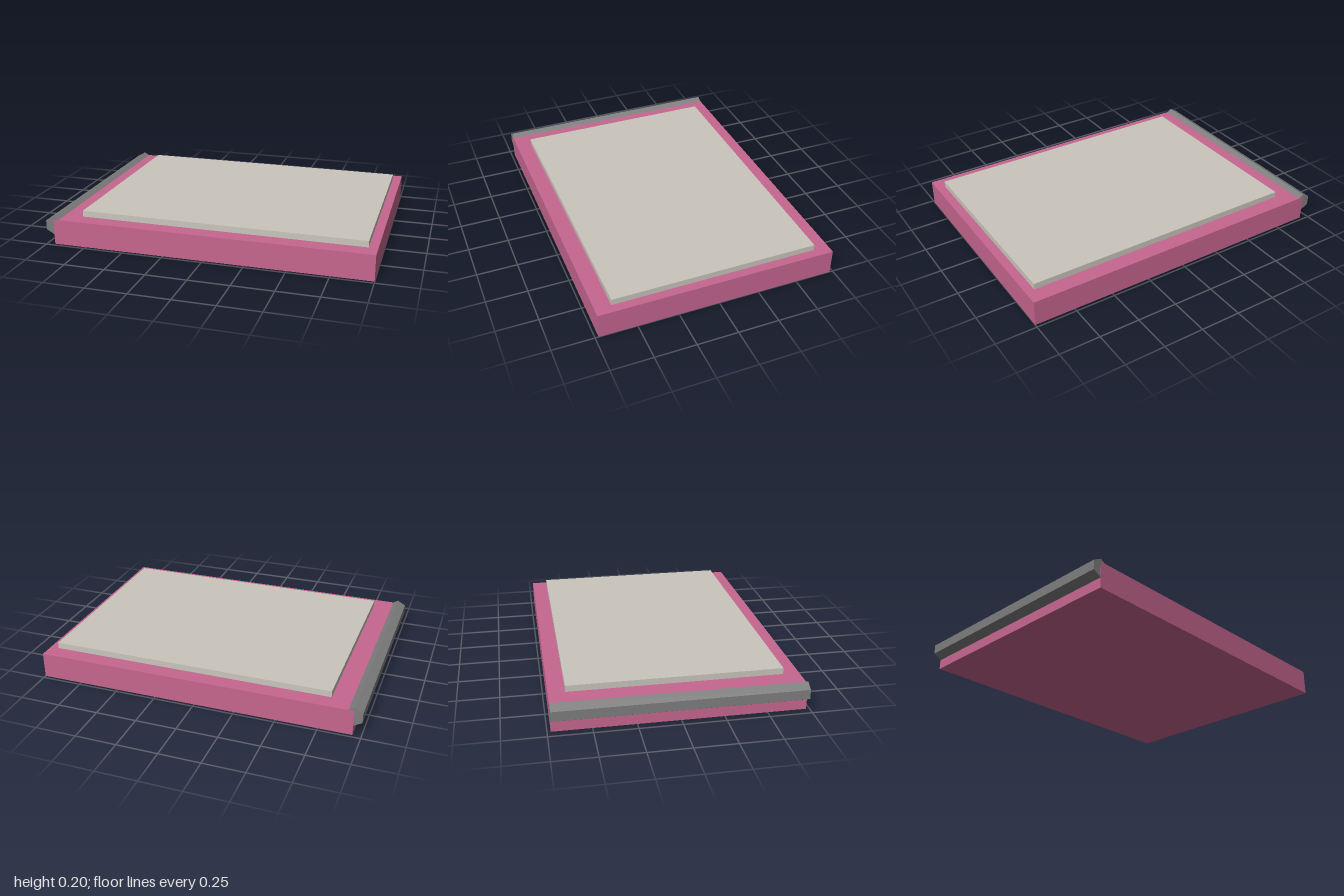
import * as THREE from 'three';

const material = (name, color) => {
  const m = new THREE.MeshStandardMaterial({ color });
  m.name = name;
  return m;
};

// Box given by its lower and upper bounds
function slab(name, mat, [x0, y0, z0], [x1, y1, z1]) {
  const mesh = new THREE.Mesh(new THREE.BoxGeometry(x1 - x0, y1 - y0, z1 - z0), mat);
  mesh.position.set((x0 + x1) / 2, (y0 + y1) / 2, (z0 + z1) / 2);
  mesh.name = name;
  return mesh;
}

export function createModel() {
  const group = new THREE.Group();
  group.name = 'tablet';
  const pink = material('pink', 0xc7668f);
  const paper = material('pale grey', 0xcac6bd);
  const grey = material('grey', 0x7e7e7e);
  grey.flatShading = true;

  // Thick base slab
  group.add(slab('base', pink, [-0.95, 0, -0.73], [1, 0.158, 0.73]));

  // Raised panel on top
  group.add(slab('topPanel', paper, [-0.8, 0.158, -0.632], [0.946, 0.196, 0.632]));

  // Hexagonal bar along the right edge, point upward, ends just inside the base
  const bar = new THREE.CylinderGeometry(0.058, 0.058, 1.458, 6);
  bar.rotateX(Math.PI / 2);
  const edgeBar = new THREE.Mesh(bar, grey);
  edgeBar.position.set(-0.95, 0.119, 0);
  edgeBar.name = 'edgeBar';
  group.add(edgeBar);

  return group;
}
